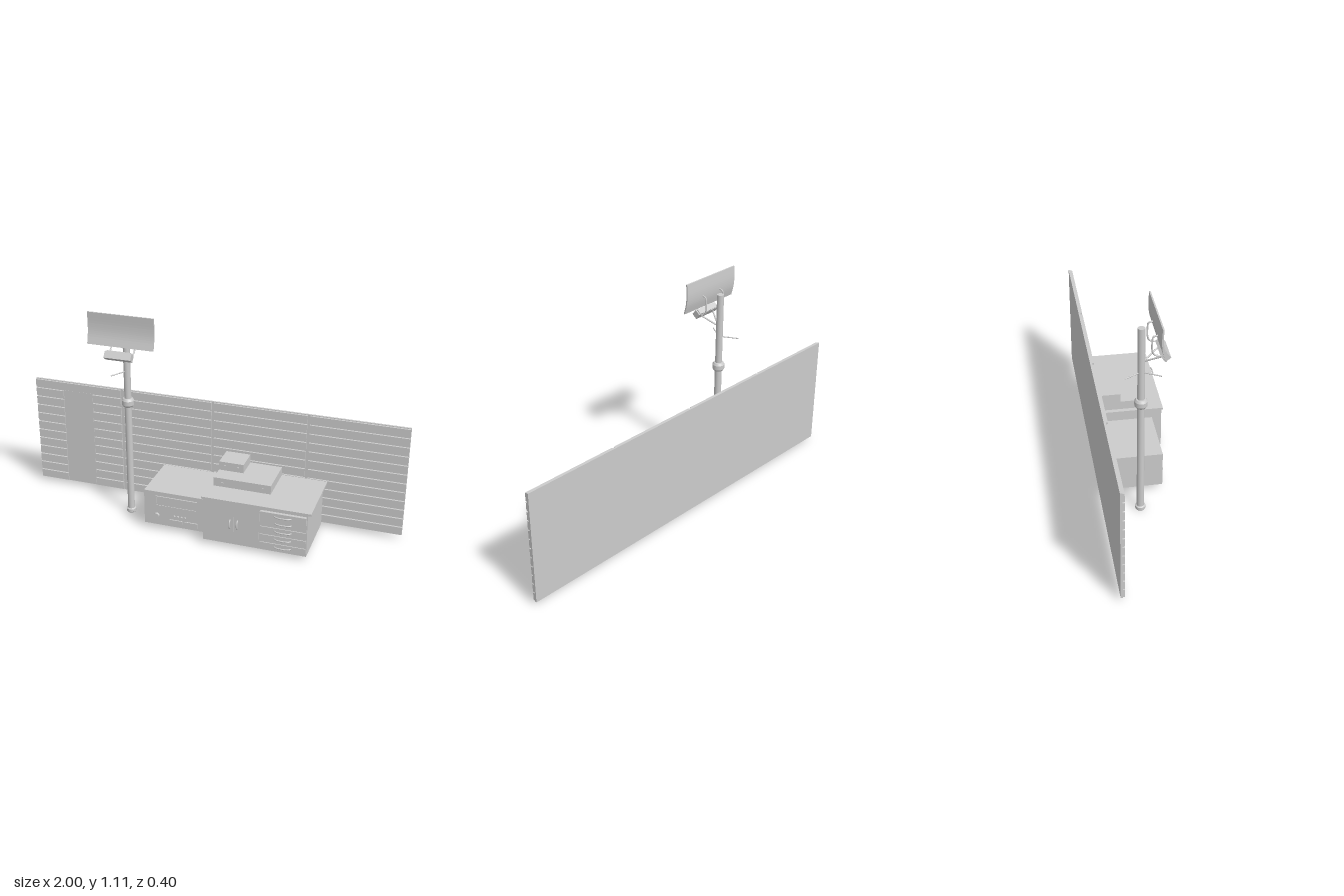
import * as THREE from 'three';

const mat = new THREE.MeshStandardMaterial({ color: 0xcccccc, side: THREE.DoubleSide });

function add(parent, name, geometry) {
  const mesh = new THREE.Mesh(geometry, mat);
  mesh.name = name;
  parent.add(mesh);
  return mesh;
}

// Box given by its limits on each axis
function box(parent, name, x0, x1, y0, y1, z0, z1) {
  const m = add(parent, name, new THREE.BoxGeometry(x1 - x0, y1 - y0, z1 - z0));
  m.position.set((x0 + x1) / 2, (y0 + y1) / 2, (z0 + z1) / 2);
  return m;
}

// Round bar through a list of points
function bar(parent, name, radius, pts, smooth = false) {
  const v = pts.map(p => new THREE.Vector3(...p));
  const curve = smooth ? new THREE.CatmullRomCurve3(v) : new THREE.LineCurve3(v[0], v[1]);
  return add(parent, name, new THREE.TubeGeometry(curve, smooth ? 20 : 1, radius, 8));
}

function section(root, name) {
  const g = new THREE.Group();
  g.name = name;
  root.add(g);
  return g;
}

function buildWall(root) {
  const g = section(root, 'slattedWall');
  box(g, 'backSheet', -1, 1, 0.02, 0.612, -0.197, -0.187);
  const rows = 12, pitch = 0.0493, front = -0.177;
  for (let s = 0; s < 4; s++) {
    const x0 = -1 + s * 0.5 + (s ? 0.004 : 0);
    const x1 = s < 3 ? -1 + (s + 1) * 0.5 - 0.01 : 1;
    for (let r = 0; r < rows; r++) {
      const y0 = 0.024 + r * pitch, y1 = y0 + 0.042;
      // the first section is interrupted by the door below its top slat
      const spans = s === 0 && r < rows - 1 ? [[x0, -0.84], [-0.67, x1]] : [[x0, x1]];
      for (const [a, b] of spans) box(g, 'slat', a, b, y0, y1, -0.187, front);
    }
  }
  box(g, 'door', -0.838, -0.672, 0.024, 0.565, -0.187, -0.179);
}

function buildLampPost(root) {
  const g = section(root, 'lampPost');
  const cx = -0.396, cz = -0.01;
  g.position.set(cx, 0, cz);
  const profile = [[0, 0], [0.021, 0], [0.025, 0.006], [0.025, 0.02], [0.018, 0.024], [0.018, 0.605],
    [0.024, 0.606], [0.031, 0.617], [0.031, 0.64], [0.024, 0.651], [0.0175, 0.652], [0.0175, 1.026], [0, 1.026]];
  // each straight run keeps its own normals so the rims stay sharp
  for (let i = 0; i < profile.length - 1; i++) {
    const pts = [profile[i], profile[i + 1]].map(p => new THREE.Vector2(...p));
    add(g, 'pole', new THREE.LatheGeometry(pts, 24));
  }
  for (const s of [-1, 1]) {
    bar(g, 'hangingRod', 0.003, [[0, 0.797, 0], [-0.049, 0.797, s * 0.086]]);
    bar(g, 'lampArm', 0.004, [[0, 0.852, 0.008], [s * 0.045, 0.9, 0.092]]);
    bar(g, 'reflectorBracket', 0.004, [[s * 0.062, 1.02, 0.067], [s * 0.062, 1.013, 0.042],
      [s * 0.062, 0.99, 0.038], [s * 0.062, 0.945, 0.038], [s * 0.062, 0.922, 0.048], [s * 0.062, 0.912, 0.08]], true);
  }
  // lamp housing tilted up towards the reflector
  const lamp = section(g, 'lampHousing');
  lamp.position.set(0, 0.91, 0.097);
  lamp.rotation.x = -0.64;
  box(lamp, 'lampBody', -0.07, 0.07, -0.02, 0.015, -0.0165, 0.0165);
  box(lamp, 'lampGlass', -0.063, 0.063, 0.015, 0.02, -0.0145, 0.0145);

  // curved reflector: a bent strip (z, y) extruded along x
  const curve = new THREE.SplineCurve([[0.084, 0.95], [0.071, 1.0], [0.067, 1.05], [0.07, 1.11]]
    .map(p => new THREE.Vector2(...p)));
  const edge = curve.getPoints(16);
  const outline = [...edge, ...edge.map(p => new THREE.Vector2(p.x - 0.007, p.y)).reverse()];
  const strip = new THREE.ExtrudeGeometry(new THREE.Shape(outline), { depth: 0.345, bevelEnabled: false });
  strip.rotateY(-Math.PI / 2);
  strip.translate(0.1745, 0, 0);
  add(g, 'reflector', strip);
}

function buildWorkbench(root) {
  const g = section(root, 'workbench');
  box(g, 'cabinetBody', 0.065, 0.592, 0.022, 0.255, -0.16, 0.172);
  box(g, 'countertop', 0.057, 0.61, 0.255, 0.266, -0.168, 0.182);
  // two doors with bowed upright handles
  for (const [a, b, h] of [[0.068, 0.222, 0.205], [0.226, 0.353, 0.243]]) {
    box(g, 'cabinetDoor', a, b, 0.026, 0.252, 0.172, 0.176);
    bar(g, 'doorHandle', 0.004, [[h, 0.112, 0.175], [h, 0.122, 0.186], [h, 0.15, 0.186], [h, 0.16, 0.175]], true);
  }
  // drawer column; the top drawer stands slightly open
  const edges = [0.026, 0.07, 0.114, 0.158, 0.202, 0.246];
  for (let i = 0; i < 5; i++) {
    const open = i === 4 ? 0.188 : 0.177;
    box(g, 'drawer', 0.358, 0.588, edges[i], edges[i + 1] - 0.004, 0.165, open);
    const y = (edges[i] + edges[i + 1]) / 2 + 0.002;
    bar(g, 'drawerHandle', 0.0035, [[0.43, y, open - 0.002], [0.442, y, open + 0.008],
      [0.503, y, open + 0.008], [0.515, y, open - 0.002]], true);
  }
  // stacked cases on the counter
  box(g, 'lowerCase', 0.08, 0.375, 0.266, 0.312, -0.163, 0.052);
  box(g, 'upperCase', 0.08, 0.208, 0.312, 0.358, -0.16, -0.036);
  for (const x of [0.11, 0.178]) box(g, 'caseLatch', x - 0.006, x + 0.006, 0.332, 0.342, -0.036, -0.033);
  for (const x of [0.125, 0.33]) box(g, 'caseLatch', x - 0.008, x + 0.008, 0.282, 0.292, 0.052, 0.055);
}

function buildMachine(root) {
  const g = section(root, 'controlUnit');
  const f = 0.123;
  box(g, 'unitBody', -0.267, 0.05, 0.03, 0.218, -0.168, f);
  // raised frame round the display
  const frame = new THREE.Shape([[-0.205, 0.14], [0.017, 0.14], [0.017, 0.195], [-0.205, 0.195]]
    .map(p => new THREE.Vector2(...p)));
  frame.holes.push(new THREE.Path([[-0.2, 0.145], [-0.2, 0.19], [0.012, 0.19], [0.012, 0.145]]
    .map(p => new THREE.Vector2(...p))));
  add(g, 'displayFrame', new THREE.ExtrudeGeometry(frame, { depth: 0.006, bevelEnabled: false })).position.z = f;
  box(g, 'display', -0.2, 0.012, 0.145, 0.19, f, f + 0.003);
  const knob = add(g, 'knob', new THREE.CylinderGeometry(0.014, 0.015, 0.012, 20));
  knob.rotation.x = Math.PI / 2;
  knob.position.set(-0.2, 0.083, f + 0.006);
  for (let i = 0; i < 4; i++) {
    const button = add(g, 'button', new THREE.CylinderGeometry(0.006, 0.006, 0.008, 12));
    button.rotation.x = Math.PI / 2;
    button.position.set(-0.105 + i * 0.019, 0.091, f + 0.004);
  }
  for (const x of [-0.095, -0.015]) box(g, 'switchPlate', x - 0.034, x + 0.034, 0.045, 0.071, f, f + 0.006);
}

export function createModel() {
  const root = new THREE.Group();
  root.name = 'workshopStand';
  buildWall(root);
  buildLampPost(root);
  buildWorkbench(root);
  buildMachine(root);
  return root;
}
